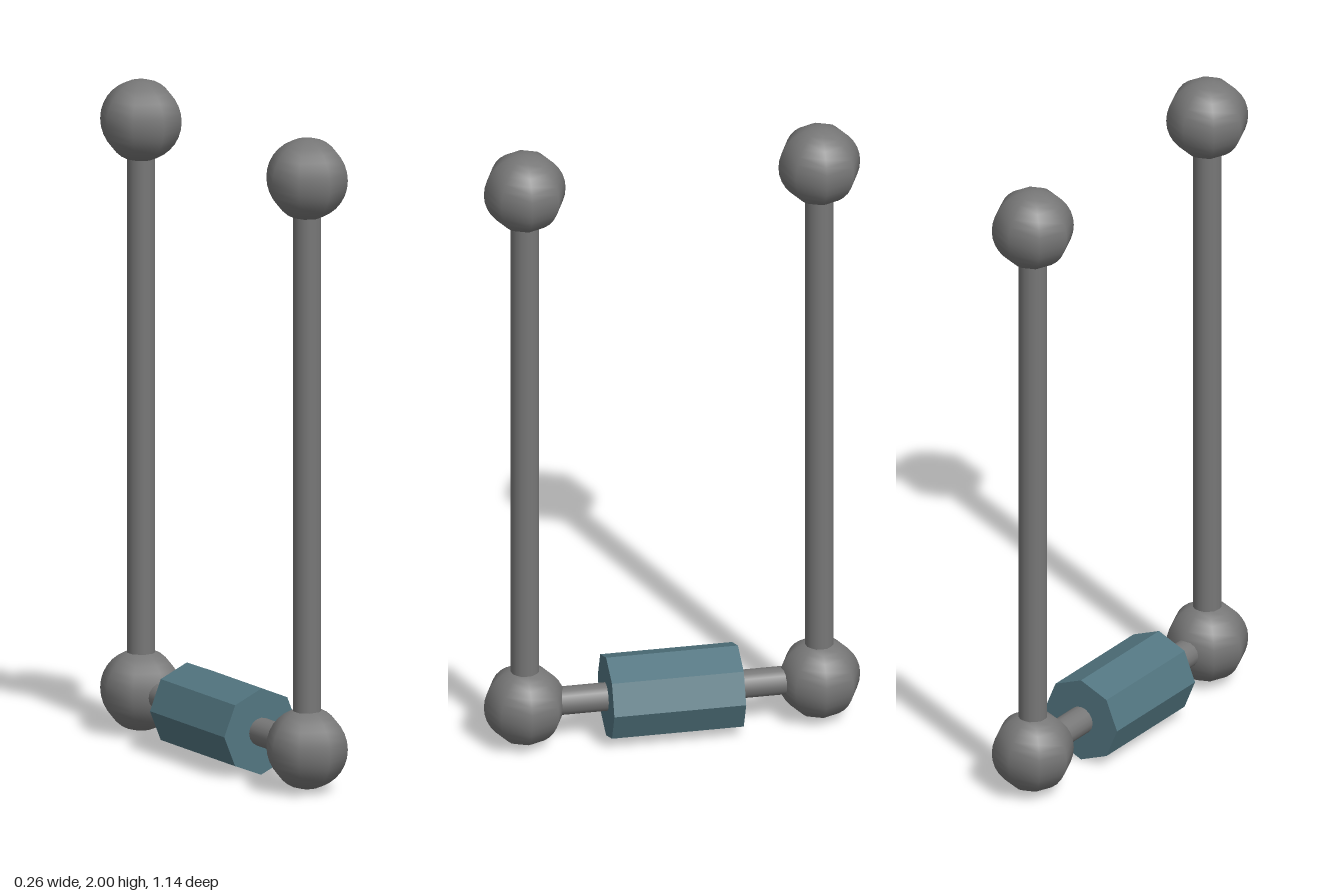
import * as THREE from 'three';

export function createModel() {
  const model = new THREE.Group();
  model.name = 'barFrame';

  const metal = new THREE.MeshStandardMaterial({ color: 0x777777 });
  const teal = new THREE.MeshStandardMaterial({ color: 0x527580, flatShading: true });

  const axisY = 0.132;   // height of the horizontal bar
  const topY = 1.877;    // height of the upper knobs
  const postZ = 0.447;   // distance of each post from the centre

  const add = (name, geometry, material, y, z) => {
    const mesh = new THREE.Mesh(geometry, material);
    mesh.name = name;
    mesh.position.set(0, y, z);
    model.add(mesh);
    return mesh;
  };

  // Posts with a knob at each end; the knobs are eight-sided seen from above
  const knob = new THREE.SphereGeometry(0.124, 8, 16);
  const post = new THREE.CylinderGeometry(0.043, 0.043, topY - axisY, 16);
  for (const [side, s] of [['front', 1], ['back', -1]]) {
    add(side + 'Post', post, metal, (topY + axisY) / 2, s * postZ);
    add(side + 'TopKnob', knob, metal, topY, s * postZ);
    add(side + 'BottomKnob', knob, metal, axisY, s * postZ);
  }

  // Horizontal bar joining the lower knobs
  const bar = new THREE.CylinderGeometry(0.043, 0.043, postZ * 2, 16).rotateX(Math.PI / 2);
  add('crossBar', bar, metal, axisY, 0);

  // Octagonal grip, with corners straight up and to the sides
  const grip = new THREE.CylinderGeometry(0.132, 0.132, 0.4, 8).rotateX(Math.PI / 2);
  add('grip', grip, teal, axisY, 0);

  return model;
}
